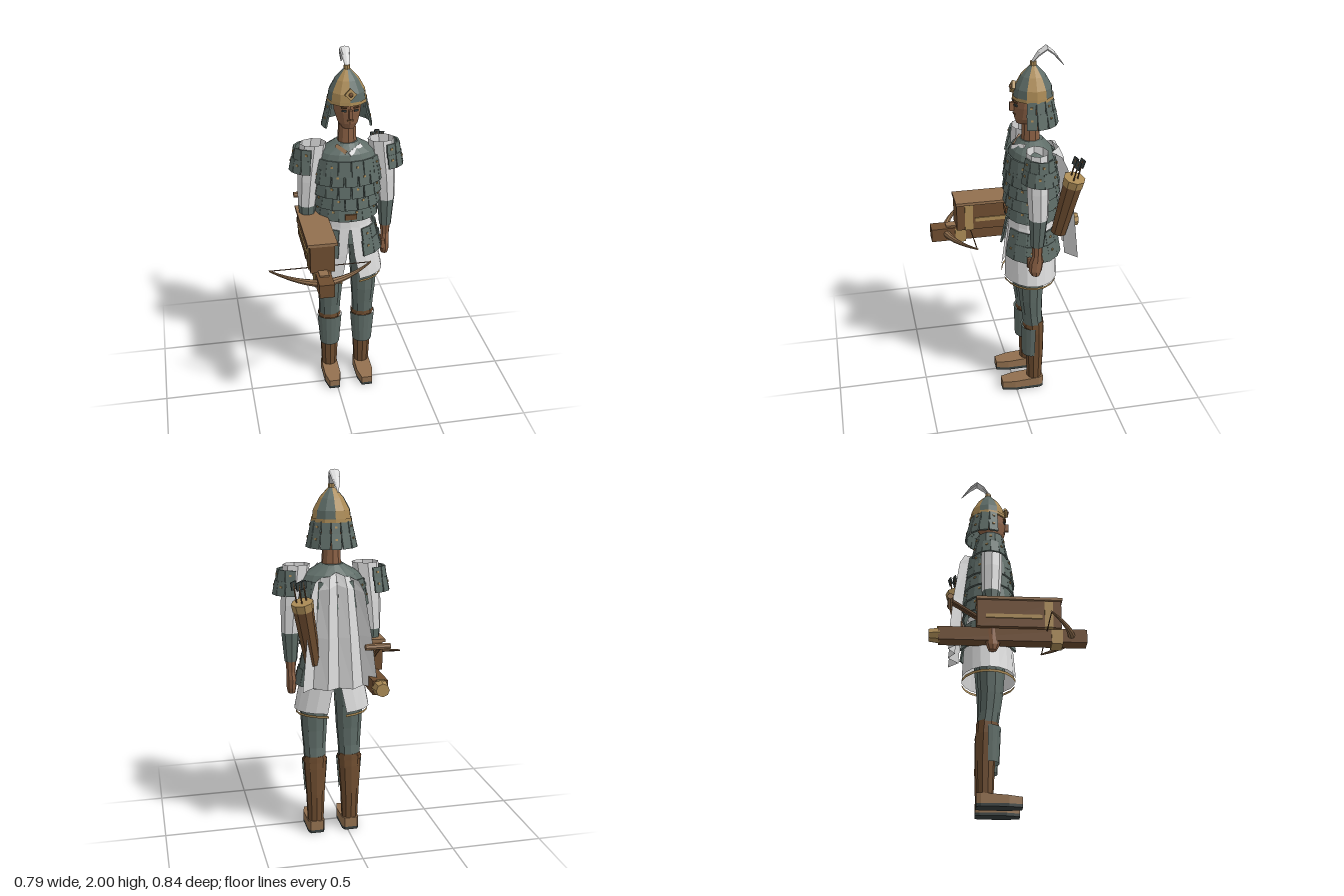
import * as THREE from 'three';

const mat = (name, color, side = THREE.FrontSide) => Object.assign(new THREE.MeshStandardMaterial({ color, side }), { name });
const M = {
  slate: mat('slate armour', 0x5e6c67, THREE.DoubleSide),
  white: mat('white cloth', 0xdadada, THREE.DoubleSide),
  wood: mat('light wood', 0x92704f),
  dark: mat('dark leather and wood', 0x6e4d30),
  skin: mat('skin', 0x8a6044),
  gold: mat('brass', 0xab8b56, THREE.DoubleSide),
  black: mat('dark sole', 0x38403f),
};
const C = -0.1; // z of the body axis

function add(parent, name, geo, material, x = 0, y = 0, z = 0) {
  const m = new THREE.Mesh(geo, material);
  m.name = name;
  m.position.set(x, y, z);
  parent.add(m);
  return m;
}
const box = (p, name, material, w, h, d, x, y, z) => add(p, name, new THREE.BoxGeometry(w, h, d), material, x, y, z);

// Faceted skin over elliptical sections [y, cx, cz, rx, rz, startAngle, endAngle], rising in y
function loft(sections, n = 8) {
  const pos = [], idx = [];
  sections.forEach(([y, cx, cz, rx, rz, a0 = 0, a1 = Math.PI * 2]) => {
    for (let j = 0; j <= n; j++) {
      const a = a0 + (a1 - a0) * j / n;
      pos.push(cx + rx * Math.sin(a), y, cz + rz * Math.cos(a));
    }
  });
  for (let i = 0; i < sections.length - 1; i++) for (let j = 0; j < n; j++) {
    const a = i * (n + 1) + j, d = a + n + 1;
    idx.push(a, a + 1, d + 1, a, d + 1, d);
  }
  const g = new THREE.BufferGeometry();
  g.setAttribute('position', new THREE.Float32BufferAttribute(pos, 3));
  g.setIndex(idx);
  const flat = g.toNonIndexed();
  flat.computeVertexNormals();
  return flat;
}
// Adds closed ends to a loft
const capped = (s, n) => {
  const end = ([y, cx, cz]) => [y, cx, cz, 0, 0];
  return loft([end(s[0]), ...s, end(s[s.length - 1])], n);
};

// A curved row of small armour plates, flared at the bottom, each with a stud
function plateRow(parent, name, cx, cz, rx, rz, y, n, a0, a1, w, h, tilt) {
  const geo = new THREE.BoxGeometry(w, h, 0.01), stud = new THREE.BoxGeometry(0.012, 0.01, 0.008);
  for (let i = 0; i < n; i++) {
    const a = a0 + (a1 - a0) * (i + 0.5) / n, s = Math.sin(a), c = Math.cos(a);
    const m = add(parent, name, geo, M.slate, cx + rx * s, y, cz + rz * c);
    m.rotation.set(-tilt, Math.atan2(s / rx, c / rz), 0, 'YXZ');
    if (i % 2 === 0) add(m, 'stud', stud, M.gold, 0, h * 0.12, 0.006);
  }
}

function cylinderBetween(p, name, material, a, b, r0, r1, n = 8) {
  const A = new THREE.Vector3(...a), B = new THREE.Vector3(...b), d = B.clone().sub(A);
  const g = new THREE.CylinderGeometry(r1, r0, d.length(), n).toNonIndexed();
  g.computeVertexNormals();
  const m = add(p, name, g, material);
  m.position.copy(A).add(B).multiplyScalar(0.5);
  m.quaternion.setFromUnitVectors(new THREE.Vector3(0, 1, 0), d.normalize());
  return m;
}

function footGeometry(y0, y1, slope) {
  const s = new THREE.Shape([[-0.03, -0.08], [0.03, -0.08], [0.046, -0.01], [0.046, 0.13], [0.035, 0.155], [-0.035, 0.155], [-0.046, 0.13], [-0.046, -0.01]]
    .map(([x, y]) => new THREE.Vector2(x, y)));
  const g = new THREE.ExtrudeGeometry(s, { depth: y1 - y0, bevelEnabled: false });
  g.rotateX(-Math.PI / 2).translate(0, y0, 0);
  const p = g.attributes.position;
  for (let i = 0; i < p.count; i++) if (p.getY(i) > y1 - 0.001) p.setY(i, y1 - slope * (p.getZ(i) + 0.155));
  g.computeVertexNormals();
  return g;
}

function buildLeg(body, s) {
  const g = new THREE.Group(), x = s * 0.097;
  g.name = s > 0 ? 'leftLeg' : 'rightLeg';
  body.add(g);
  add(g, 'sole', footGeometry(0, 0.016, 0), M.black, x);
  add(g, 'shoe', footGeometry(0.016, 0.07, 0.07), M.wood, x);
  add(g, 'boot', capped([[0.05, x, -0.11, 0.044, 0.043], [0.23, x, -0.11, 0.052, 0.05], [0.38, x, -0.105, 0.062, 0.056], [0.45, x, -0.102, 0.06, 0.055]], 10), M.dark);
  add(g, 'shinGuard', loft([[0.23, x, -0.092, 0.056, 0.055, -1.7, 1.7], [0.42, x, -0.092, 0.071, 0.062, -1.7, 1.7]], 8), M.slate);
  add(g, 'kneeStrap', loft([[0.415, x, -0.1, 0.068, 0.06], [0.44, x, -0.1, 0.066, 0.06]], 10), M.dark);
  add(g, 'trouser', loft([[0.43, x, -0.1, 0.06, 0.056], [0.5, x, -0.092, 0.062, 0.057], [0.6, x, -0.085, 0.07, 0.065],
    [0.73, x, -0.085, 0.077, 0.075], [0.96, x * 0.93, -0.09, 0.087, 0.095]], 10), M.slate);
}

function buildArm(body, s) {
  const g = new THREE.Group();
  g.name = s > 0 ? 'leftArm' : 'rightArm';
  body.add(g);
  add(g, 'sleeve', loft([[1.15, s * 0.22, -0.092, 0.05, 0.052], [1.3, s * 0.208, -0.09, 0.062, 0.058], [1.51, s * 0.184, -0.088, 0.072, 0.058]], 8), M.white);
  add(g, 'forearm', capped([[0.99, s * 0.22, -0.088, 0.034, 0.036], [1.16, s * 0.22, -0.092, 0.05, 0.05]], 8), M.slate);
  add(g, 'hand', capped([[0.81, s * 0.217, -0.082, 0.02, 0.022], [0.84, s * 0.217, -0.08, 0.026, 0.036], [0.89, s * 0.217, -0.085, 0.026, 0.038],
    [0.93, s * 0.22, -0.088, 0.024, 0.027], [1.02, s * 0.22, -0.088, 0.031, 0.031]], 8), M.skin);
  box(g, 'thumb', M.skin, 0.018, 0.055, 0.018, s * 0.2, 0.88, -0.05);
  const a = s > 0 ? [0.2, 2.94] : [-2.94, -0.2];
  plateRow(g, 'shoulderPlate', s * 0.18, C, 0.105, 0.078, 1.455, 5, ...a, 0.05, 0.07, 0.15);
  plateRow(g, 'shoulderPlate', s * 0.185, C, 0.115, 0.09, 1.395, 6, ...a, 0.046, 0.075, 0.2);
}

function buildTorso(body) {
  add(body, 'torso', capped([[0.92, 0, C, 0.13, 0.105], [1.05, 0, C, 0.12, 0.105], [1.12, 0, C, 0.125, 0.11], [1.25, 0, C, 0.165, 0.125],
    [1.4, 0, C, 0.19, 0.125], [1.46, 0, C, 0.15, 0.105], [1.51, 0, C, 0.062, 0.06]], 16), M.slate);
  [[1.39, 0.175, 0.13], [1.335, 0.186, 0.136], [1.265, 0.18, 0.137], [1.195, 0.172, 0.135], [1.125, 0.162, 0.13]].forEach(([y, rx, rz], i) =>
    plateRow(body, 'chestPlate', 0, C, rx, rz, y, 16, i % 2 * 0.2, Math.PI * 2 + i % 2 * 0.2, 0.063, 0.085, 0.16));
  add(body, 'belt', loft([[1.02, 0, C, 0.14, 0.122], [1.075, 0, C, 0.135, 0.118]], 16), M.white);
  box(body, 'buckle', M.dark, 0.065, 0.03, 0.012, 0, 1.112, 0.038);

  // Skirt halves, open at the front and back
  for (const s of [-1, 1]) {
    const arc = g => s > 0 ? [g, Math.PI - g] : [-Math.PI + g, -g];
    add(body, 'skirt', loft([[0.725, 0, -0.093, 0.206, 0.15, ...arc(0.25)], [0.87, 0, -0.095, 0.178, 0.138, ...arc(0.12)],
      [1.04, 0, C, 0.138, 0.12, ...arc(0.02)]], 8), M.white);
    add(body, 'skirtTrim', loft([[0.7, 0, -0.093, 0.196, 0.147, ...arc(0.24)], [0.714, 0, -0.093, 0.198, 0.149, ...arc(0.24)]], 8), M.gold);
    plateRow(body, 'hipPlate', 0, C, 0.165, 0.137, 0.98, 6, ...arc(0.42), 0.066, 0.09, 0.2);
    plateRow(body, 'hipPlate', 0, C, 0.186, 0.148, 0.91, 6, ...arc(0.36), 0.07, 0.09, 0.2);
  }

  // Crossed collar
  const left = box(body, 'collarBand', M.white, 0.095, 0.022, 0.014, 0.032, 1.478, -0.025);
  left.rotation.set(-0.6, 0.35, 0.6);
  const right = box(body, 'collarBand', M.wood, 0.07, 0.02, 0.014, -0.042, 1.485, -0.03);
  right.rotation.set(-0.6, -0.35, -0.75);
}

function buildHead(body) {
  const g = new THREE.Group();
  g.name = 'head';
  body.add(g);
  add(g, 'neck', loft([[1.48, 0, -0.095, 0.053, 0.05], [1.65, 0, -0.095, 0.044, 0.045]], 10), M.skin);
  add(g, 'face', capped([[1.6, 0, -0.065, 0.035, 0.045], [1.63, 0, -0.075, 0.055, 0.066], [1.69, 0, -0.09, 0.072, 0.088], [1.77, 0, C, 0.078, 0.095]], 12), M.skin);
  box(g, 'nose', M.skin, 0.018, 0.045, 0.03, 0, 1.69, 0.001);
  box(g, 'mouth', M.dark, 0.034, 0.008, 0.008, 0, 1.65, -0.009);
  for (const s of [-1, 1]) {
    box(g, 'eye', M.black, 0.024, 0.009, 0.008, s * 0.032, 1.705, -0.009).rotation.y = s * 0.35;
    box(g, 'eyebrow', M.dark, 0.03, 0.006, 0.008, s * 0.032, 1.722, -0.008).rotation.y = s * 0.35;
  }

  // Helmet of six alternating wedges
  const dome = [[1.735, 0.104], [1.79, 0.097], [1.85, 0.064], [1.89, 0.027], [1.905, 0.012]], third = Math.PI / 3;
  for (let i = 0; i < 6; i++)
    add(g, 'helmetWedge', loft(dome.map(([y, r]) => [y, 0, C - 0.005, r, r, i * third, (i + 1) * third]), 2), i % 2 ? M.gold : M.slate);
  add(g, 'helmetRim', loft([[1.73, 0, C - 0.005, 0.1, 0.1], [1.732, 0, C - 0.005, 0.108, 0.108], [1.75, 0, C - 0.005, 0.107, 0.107]], 12), M.gold);
  add(g, 'finial', capped([[1.88, 0, C - 0.005, 0.032, 0.032], [1.895, 0, C - 0.005, 0.018, 0.018], [1.92, 0, C - 0.005, 0.016, 0.016]], 8), M.gold);
  const badge = box(g, 'helmetBadge', M.gold, 0.045, 0.045, 0.016, 0, 1.795, 0);
  badge.rotation.set(-0.2, 0, Math.PI / 4, 'YXZ');
  add(g, 'badgeStud', new THREE.SphereGeometry(0.012, 6, 4), M.dark, 0, 1.795, 0.008);
  plateRow(g, 'neckGuardPlate', 0, C - 0.005, 0.107, 0.103, 1.7, 9, 1.05, 5.23, 0.046, 0.075, 0.2);
  plateRow(g, 'neckGuardPlate', 0, C - 0.005, 0.121, 0.117, 1.638, 9, 1.1, 5.18, 0.052, 0.08, 0.22);
  // Plume sweeping up and back
  add(g, 'plume', capped([[0.095, 0, 1.91, 0.01, 0.008], [0.13, 0, 1.955, 0.022, 0.015], [0.172, 0, 1.985, 0.028, 0.013],
    [0.21, 0, 1.955, 0.022, 0.011], [0.262, 0, 1.89, 0.003, 0.003]], 8), M.white).rotation.x = -Math.PI / 2;
}

function buildCape(body) {
  const g = new THREE.PlaneGeometry(1, 1, 6, 3).toNonIndexed(), p = g.attributes.position;
  const rows = [[1.48, 0.115, -0.215], [1.42, 0.14, -0.24], [1.15, 0.17, -0.268], [0.88, 0.2, -0.288]];
  for (let i = 0; i < p.count; i++) {
    const [y, hw, z] = rows[Math.round((0.5 - p.getY(i)) * 3)], col = Math.round((p.getX(i) + 0.5) * 6);
    const peak = col % 2 === 0;
    p.setXYZ(i, (col / 3 - 1) * hw, y - Math.abs(col - 3) * (y > 1.4 ? 0.015 : 0), z + (peak ? -0.028 : 0.03) * (0.5 + hw * 2.5) * (col === 3 ? -0.3 : 1) * (col === 3 ? -1 : 1));
  }
  g.computeVertexNormals();
  add(body, 'cape', g, M.white);
}

function buildQuiver(root) {
  const q = new THREE.Group();
  q.name = 'quiver';
  root.add(q);
  const at = t => [0.205 + 0.065 * t, 1.01 + 0.34 * t, -0.225 - 0.06 * t];
  cylinderBetween(q, 'quiverBody', M.dark, at(0), at(0.95), 0.042, 0.054);
  cylinderBetween(q, 'quiverRim', M.gold, at(0.88), at(1), 0.056, 0.058);
  for (const [dx, dz] of [[-0.025, 0.012], [0.004, -0.015], [0.026, 0.012]]) {
    const off = ([x, y, z]) => [x + dx, y, z + dz];
    cylinderBetween(q, 'arrowShaft', M.dark, off(at(0.9)), off(at(1.3)), 0.004, 0.004, 5);
    const f = box(q, 'arrowFletching', M.black, 0.034, 0.045, 0.005, ...off(at(1.26)));
    f.rotation.set(-0.17, 0.5, -0.17);
  }
}

function buildCrossbow(root) {
  const g = new THREE.Group();
  g.name = 'crossbow';
  g.position.x = -0.12;
  root.add(g);
  box(g, 'stock', M.dark, 0.08, 0.075, 0.79, 0, 0.897, 0.025);
  box(g, 'magazine', M.dark, 0.13, 0.16, 0.45, 0, 1.01, 0.057);
  box(g, 'magazineLid', M.wood, 0.158, 0.016, 0.46, 0, 1.093, 0.057);
  box(g, 'magazineBand', M.gold, 0.14, 0.15, 0.045, 0, 1.005, 0.215);
  box(g, 'stockBand', M.gold, 0.088, 0.085, 0.06, 0, 0.89, 0.26);
  box(g, 'bowSeat', M.wood, 0.05, 0.012, 0.055, 0, 0.937, 0.31);
  for (const s of [-1, 1]) box(g, 'sideRail', M.gold, 0.008, 0.022, 0.3, s * 0.067, 0.99, 0.03);
  cylinderBetween(g, 'buttCap', M.gold, [0, 0.897, -0.36], [0, 0.897, -0.42], 0.045, 0.036);
  box(g, 'sightPlate', M.gold, 0.045, 0.008, 0.012, 0, 0.937, -0.372);
  cylinderBetween(g, 'handle', M.wood, [-0.066, 1.1, -0.31], [0.066, 1.1, -0.31], 0.017, 0.017);
  for (const s of [-1, 1]) cylinderBetween(g, 'lever', M.dark, [s * 0.016, 1.0, -0.15], [s * 0.016, 1.1, -0.305], 0.01, 0.01, 6);

  // Bow limbs, tapering to the tips
  const sections = [];
  for (let i = -6; i <= 6; i++) {
    const t = i / 6, r = 0.023 - 0.018 * Math.abs(t);
    sections.push([t * 0.275, -0.9 - 0.022 * t * t, 0.34 - 0.135 * Math.pow(Math.abs(t), 1.7), r, r]);
  }
  add(g, 'bow', capped(sections, 8), M.wood).rotation.z = -Math.PI / 2;
  cylinderBetween(g, 'bowString', M.dark, [-0.273, 0.922, 0.206], [0.273, 0.922, 0.206], 0.003, 0.003, 5);
}

export function createModel() {
  const root = new THREE.Group(), body = new THREE.Group();
  root.name = 'crossbowSoldier';
  body.name = 'body';
  body.position.x = 0.078;
  root.add(body);
  for (const s of [-1, 1]) {
    buildLeg(body, s);
    buildArm(body, s);
  }
  buildTorso(body);
  buildHead(body);
  buildCape(body);
  buildQuiver(root);
  buildCrossbow(root);
  return root;
}
